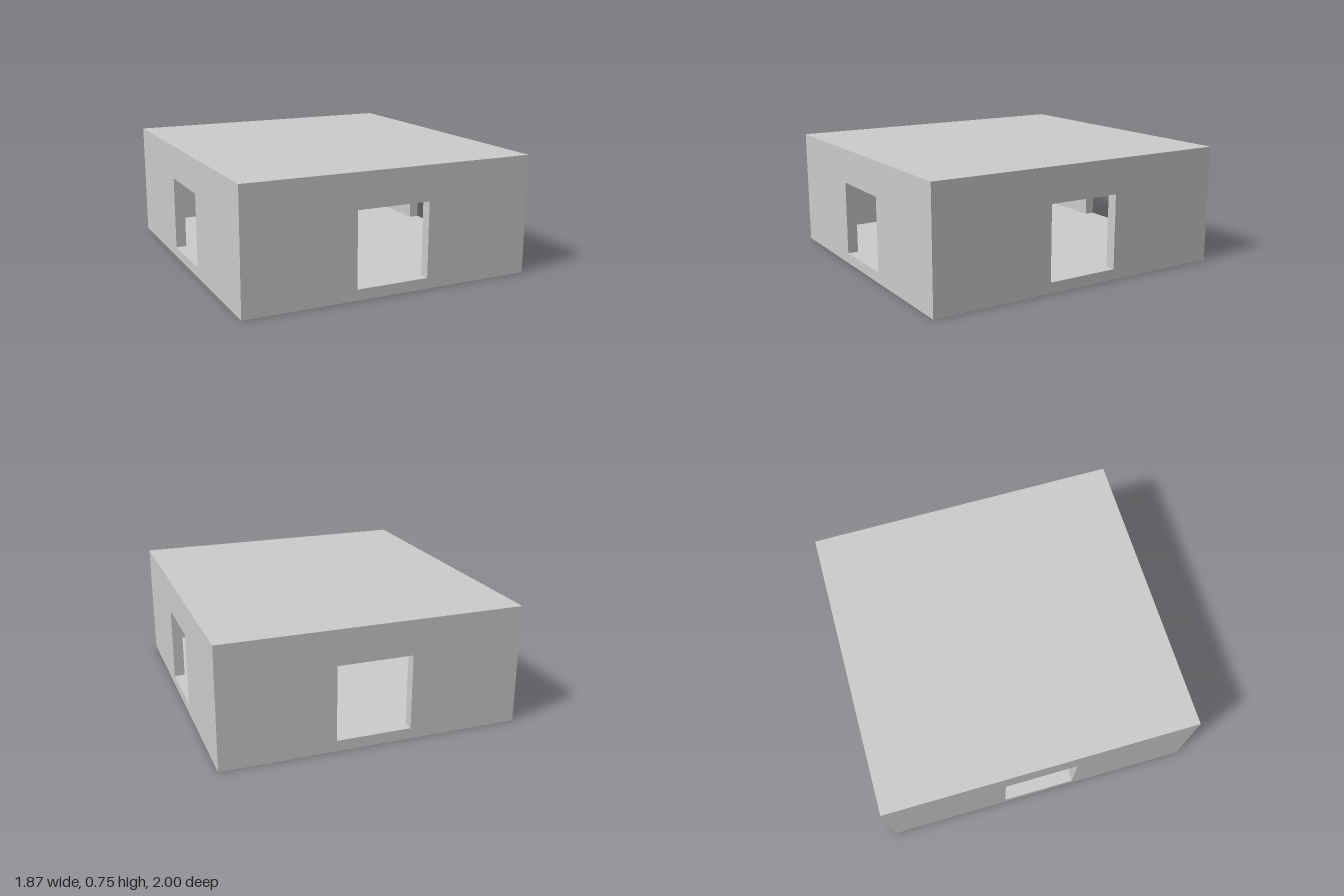
import * as THREE from 'three';

const W = 1.867, D = 2, H = 0.75;      // outer size
const T = 0.067;                       // wall and floor thickness
const CEILING = 0.63;                  // underside of the roof slab
const OPEN_W = 0.467, OPEN_TOP = 0.533; // doorway, starting at floor level

export function createModel() {
  const group = new THREE.Group();
  group.name = 'hollowRoom';
  const material = new THREE.MeshStandardMaterial({ color: 0xcccccc, flatShading: true });

  const add = (name, geometry, y) => {
    const mesh = new THREE.Mesh(geometry, material);
    mesh.name = name;
    mesh.position.y = y;
    group.add(mesh);
    return mesh;
  };

  // Floor and roof slabs
  add('floor', new THREE.BoxGeometry(W, T, D), T / 2);
  add('roof', new THREE.BoxGeometry(W, H - CEILING, D), (H + CEILING) / 2);

  // Wall with a doorway notched up from the floor; outer face lies at z = 0
  const wallGeometry = (width) => {
    const h = CEILING - T, a = width / 2, b = OPEN_W / 2, top = OPEN_TOP - T;
    const shape = new THREE.Shape([
      [-a, 0], [-b, 0], [-b, top], [b, top], [b, 0], [a, 0], [a, h], [-a, h],
    ].map(([x, y]) => new THREE.Vector2(x, y)));
    return new THREE.ExtrudeGeometry(shape, { depth: T, bevelEnabled: false }).translate(0, 0, -T);
  };

  // Front and back walls run full width, side walls fit between them
  const longWall = wallGeometry(W);
  const sideWall = wallGeometry(D - 2 * T);
  ['frontWall', 'leftWall', 'backWall', 'rightWall'].forEach((name, i) => {
    const side = i % 2 === 1;
    const angle = i * Math.PI / 2;
    const distance = (side ? W : D) / 2;
    const wall = add(name, side ? sideWall : longWall, T);
    wall.rotation.y = angle;
    wall.position.x = Math.sin(angle) * distance;
    wall.position.z = Math.cos(angle) * distance;
  });

  return group;
}
